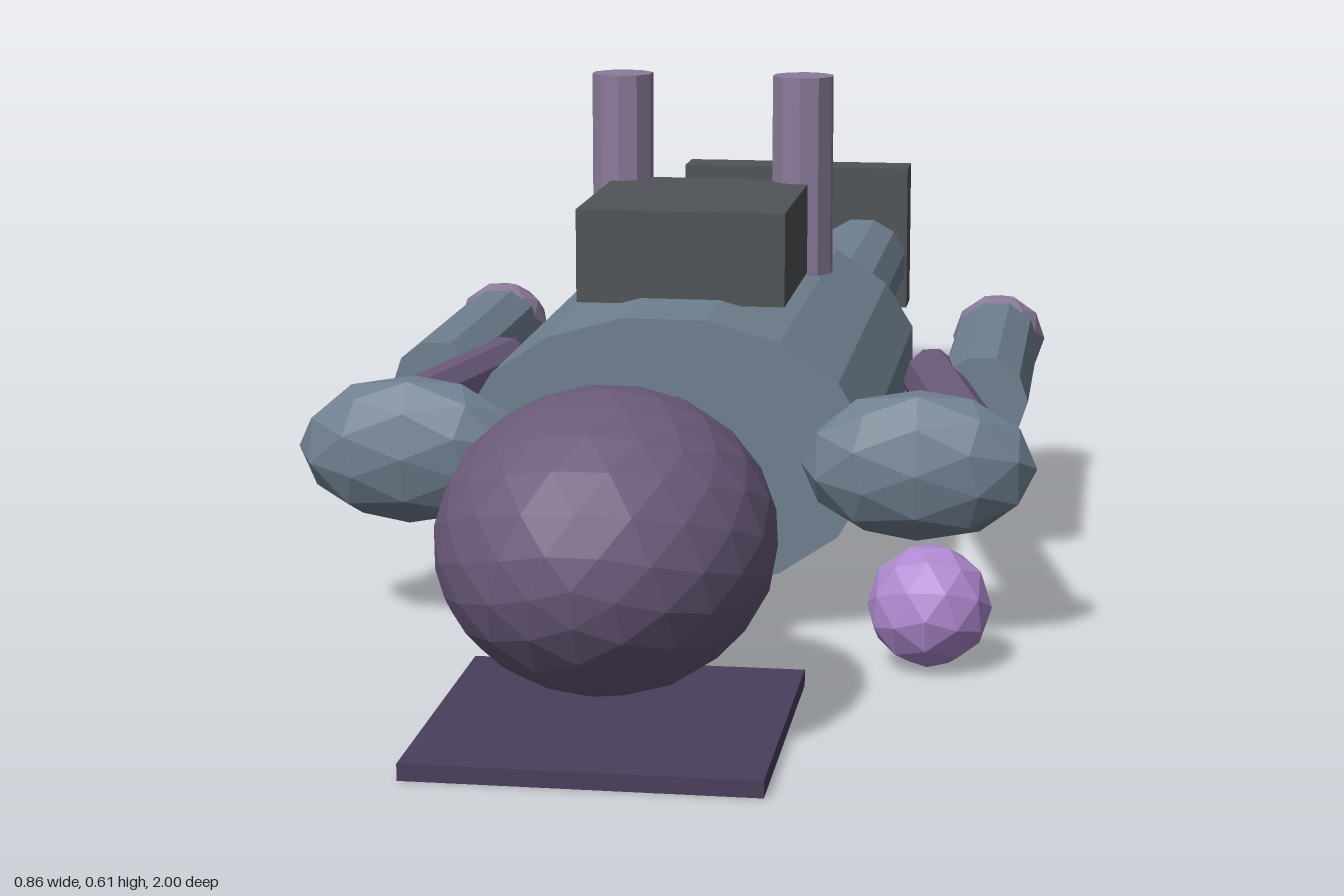
import * as THREE from 'three';

const mat = (color) => new THREE.MeshStandardMaterial({ color, flatShading: true });
const skin = mat(0x6b5b7b);
const armour = mat(0x708090);
const dark = mat(0x4f5458);
const pale = mat(0x8b7b9b);
const glow = mat(0xb08ad0);
const cloth = mat(0x4b3f5c);

const AXIS_Y = 0.212; // height of the lying body's centre line
const TILT = Math.atan(2 / (1 + Math.sqrt(5))); // turns an icosahedron corner onto an axis

export function createModel() {
  const model = new THREE.Group();

  const add = (name, geometry, material, x, y, z) => {
    const mesh = new THREE.Mesh(geometry, material);
    mesh.name = name;
    mesh.position.set(x, y, z);
    model.add(mesh);
    return mesh;
  };

  // Box given by its limits on each axis
  const box = (name, material, [x0, x1], [y0, y1], [z0, z1]) =>
    add(name, new THREE.BoxGeometry(x1 - x0, y1 - y0, z1 - z0), material,
      (x0 + x1) / 2, (y0 + y1) / 2, (z0 + z1) / 2);

  // Elliptical cylinder lying along z
  const tubeZ = (name, material, x, rx, ry, z0, z1, sides) => {
    const g = new THREE.CylinderGeometry(1, 1, z1 - z0, sides);
    g.rotateY(Math.PI / sides).rotateX(Math.PI / 2).scale(rx, ry, 1);
    return add(name, g, material, x, AXIS_Y, (z0 + z1) / 2);
  };

  // Faceted ball with its pole along z
  const ball = (name, material, detail, radii, x, y, z) => {
    const g = new THREE.IcosahedronGeometry(1, detail);
    g.rotateX(TILT).scale(...radii);
    return add(name, g, material, x, y, z);
  };

  // Head, neck and torso
  ball('head', skin, 3, [0.178, 0.158, 0.202], 0, AXIS_Y, 0.797);
  tubeZ('neck', skin, 0, 0.078, 0.077, 0.44, 0.567, 12);
  tubeZ('torso', armour, 0, 0.243, 0.163, -0.236, 0.422, 16);

  // Backpack block and plates under the body
  box('chestBlock', dark, [-0.125, 0.125], [0.365, 0.477], [0.01, 0.292]);
  box('headPlate', cloth, [-0.185, 0.185], [0, 0.018], [0.6, 0.966]);
  box('bodyPlate', pale, [-0.08, 0.08], [0.017, 0.034], [0.14, 0.28]);

  // Loose ball beside the left shoulder
  ball('looseBall', glow, 1, [0.07, 0.07, 0.07], 0.315, 0.071, 0.51);

  for (const s of [1, -1]) {
    const side = s > 0 ? 'left' : 'right';

    // Shoulder with its pole pointing sideways
    const pad = new THREE.IcosahedronGeometry(1, 1);
    pad.rotateZ(TILT - Math.PI / 2).scale(0.135, 0.088, 0.06);
    add(side + 'Shoulder', pad, armour, s * 0.295, AXIS_Y, 0.43);

    // Arm: the upper arm slants inwards, the forearm runs straight
    const upper = tubeZ(side + 'UpperArm', skin, s * 0.322, 0.036, 0.045, -0.215, 0.215, 10);
    upper.position.z = 0.18;
    upper.rotation.y = s * 0.205;
    tubeZ(side + 'Forearm', armour, s * 0.348, 0.058, 0.057, -0.305, 0.075, 10);
    ball(side + 'Hand', pale, 1, [0.063, 0.06, 0.063], s * 0.35, AXIS_Y, -0.343);

    // Leg
    tubeZ(side + 'Thigh', skin, s * 0.106, 0.066, 0.064, -0.54, -0.22, 12);
    tubeZ(side + 'Shin', armour, s * 0.106, 0.071, 0.07, -0.935, -0.535, 12);
    const foot = box(side + 'Foot', dark, [0.036, 0.177], [0.14, 0.362], [-1, -0.932]);
    foot.position.x *= s;

    // Upright pipe
    add(side + 'Pipe', new THREE.CylinderGeometry(0.039, 0.039, 0.25, 10), pale,
      s * 0.115, 0.485, 0.013);
  }

  return model;
}
